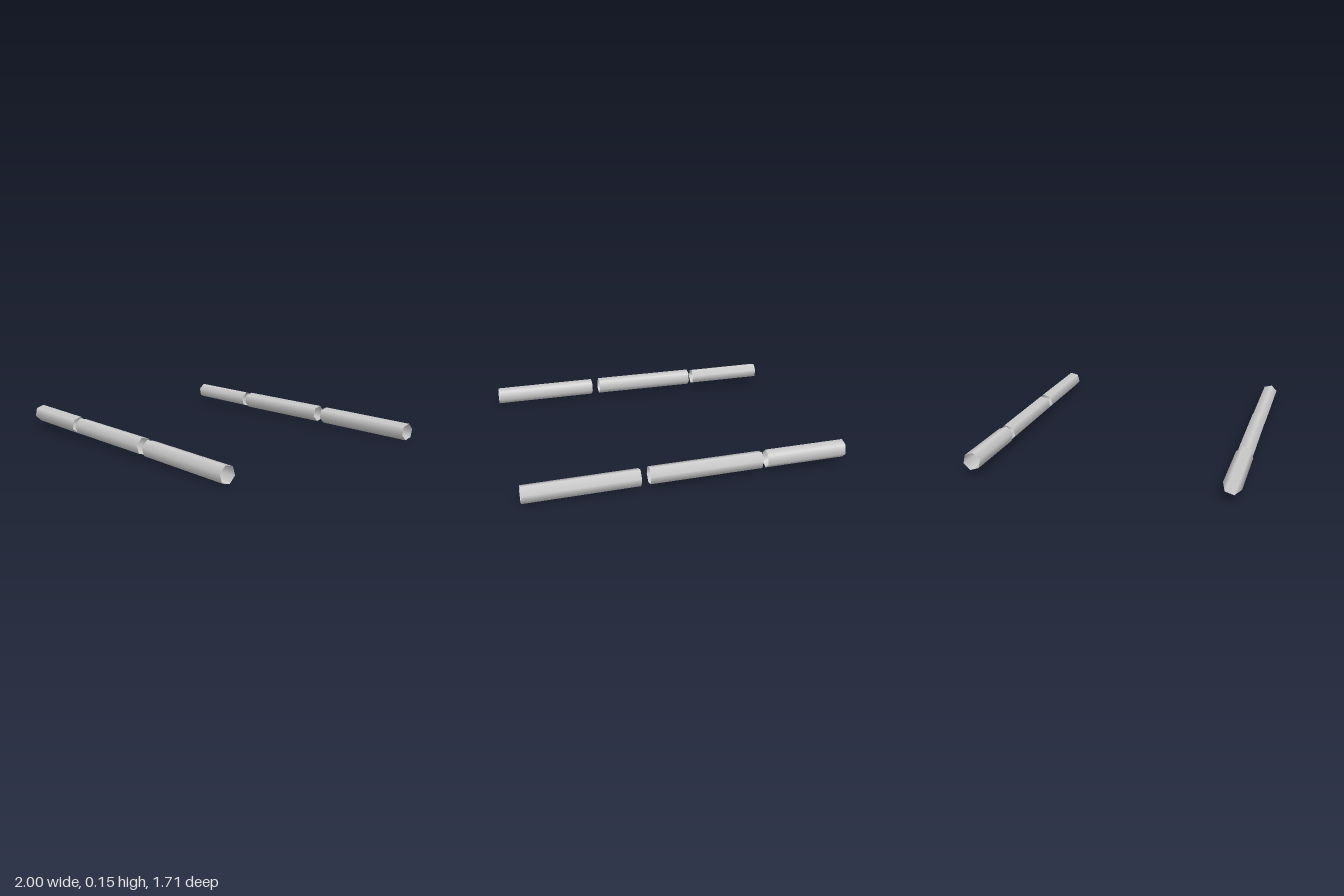
import * as THREE from 'three';

const RADIUS = 0.056;

// Open six-sided tube running along x between two end centres [x, y, z];
// tilt turns the section so that a corner leans from straight up toward +z.
function tube(name, start, end, tilt, material) {
  const length = end[0] - start[0];
  const geometry = new THREE.CylinderGeometry(
    RADIUS, RADIUS, length, 6, 1, true, -Math.PI / 2 + THREE.MathUtils.degToRad(tilt));
  geometry.rotateZ(-Math.PI / 2);
  // Slide each cross-section onto the sloping centre line, ends staying square to x
  const pos = geometry.attributes.position;
  for (let i = 0; i < pos.count; i++) {
    const t = pos.getX(i) / length + 0.5;
    pos.setXYZ(i,
      THREE.MathUtils.lerp(start[0], end[0], t),
      pos.getY(i) + THREE.MathUtils.lerp(start[1], end[1], t),
      pos.getZ(i) + THREE.MathUtils.lerp(start[2], end[2], t));
  }
  const mesh = new THREE.Mesh(geometry, material);
  mesh.name = name;
  return mesh;
}

export function createModel() {
  const model = new THREE.Group();
  model.name = 'tubeRows';
  const grey = new THREE.MeshStandardMaterial({ color: 0xcccccc, side: THREE.DoubleSide });
  grey.name = 'light grey';

  // Each section: x and y at both ends, z at both ends per row, corner tilt
  const sections = [
    { name: 'shortTube', x: [-1, -0.488], y: [0.1, 0.089], front: [0.758, 0.768], back: [-0.775, -0.778], tilt: -12 },
    { name: 'middleTube', x: [-0.455, 0.247], y: [0.088, 0.075], front: [0.77, 0.783], back: [-0.779, -0.79], tilt: 16 },
    { name: 'endTube', x: [0.302, 1], y: [0.072, 0.056], front: [0.786, 0.8], back: [-0.793, -0.804], tilt: 16 },
  ];

  // Front and back rows, with the section turned in mirror image
  for (const [row, side] of [['front', 1], ['back', -1]]) {
    const group = new THREE.Group();
    group.name = row + 'Row';
    for (const s of sections) {
      const z = s[row];
      group.add(tube(s.name, [s.x[0], s.y[0], z[0]], [s.x[1], s.y[1], z[1]], side * s.tilt, grey));
    }
    model.add(group);
  }
  return model;
}
